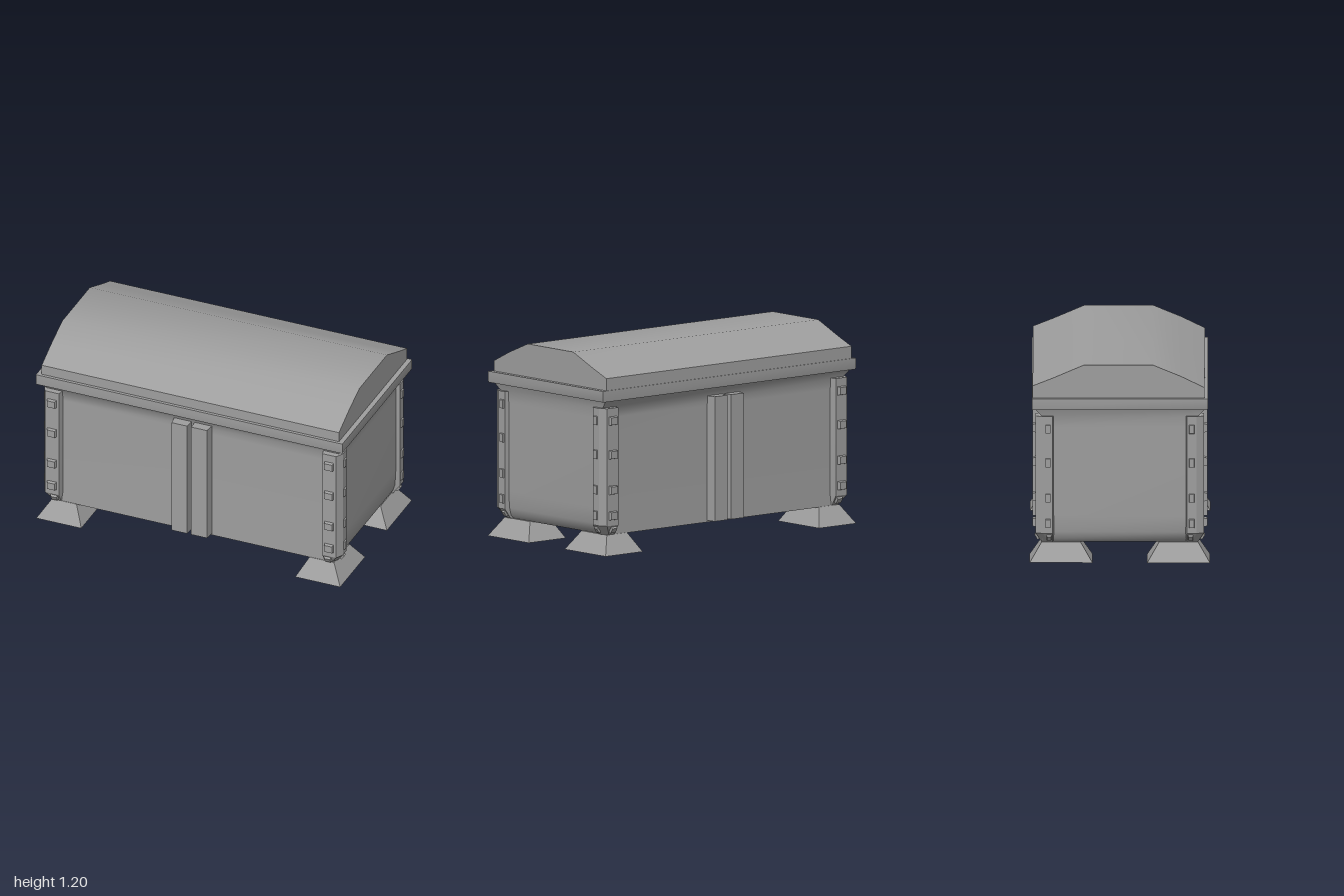
import * as THREE from 'three';
import { toCreasedNormals } from 'three/addons/utils/BufferGeometryUtils.js';

const material = new THREE.MeshStandardMaterial({ color: 0x9e9e9e });

// Skin between rings of [x, y, z] points, listed bottom to top, anticlockwise from above.
function loft(rings, crease = 0.2) {
  const n = rings[0].length;
  const index = [];
  for (let i = 0; i < rings.length - 1; i++) {
    for (let j = 0; j < n; j++) {
      const k = (j + 1) % n;
      const a = i * n + j, b = i * n + k, c = b + n, d = a + n;
      index.push(a, b, c, a, c, d);
    }
  }
  const top = (rings.length - 1) * n;
  for (let j = 1; j < n - 1; j++) {
    index.push(0, j + 1, j, top, top + j, top + j + 1);
  }
  const geo = new THREE.BufferGeometry();
  geo.setAttribute('position', new THREE.Float32BufferAttribute(rings.flat(2), 3));
  geo.setIndex(index);
  return toCreasedNormals(geo, crease);
}

// Rectangular ring at height y with half sizes hx, hz around (cx, cz).
const rect = (y, hx, hz, cx = 0, cz = 0) => [
  [cx + hx, y, cz + hz], [cx + hx, y, cz - hz], [cx - hx, y, cz - hz], [cx - hx, y, cz + hz],
];

// Ring from an [x, z] section, mirrored into the quadrant given by sx and sz.
function mirroredRing(section, y, sx, sz) {
  const ring = section.map(([x, z]) => [sx * x, y, sz * z]);
  return sx * sz < 0 ? ring.reverse() : ring;
}

// Stud whose front (+z) face is inset on all four sides.
function studGeometry(w, h) {
  const inset = 0.006;
  const geo = new THREE.BoxGeometry(w, h, 0.026).toNonIndexed();
  const p = geo.attributes.position;
  for (let i = 0; i < p.count; i++) {
    if (p.getZ(i) > 0) {
      p.setX(i, p.getX(i) - Math.sign(p.getX(i)) * inset);
      p.setY(i, p.getY(i) - Math.sign(p.getY(i)) * inset);
    }
  }
  geo.computeVertexNormals();
  return geo;
}

export function createModel() {
  const model = new THREE.Group();
  model.name = 'chest';
  const add = (name, geo, parent = model) => {
    const mesh = new THREE.Mesh(geo, material);
    mesh.name = name;
    parent.add(mesh);
    return mesh;
  };

  // Body: ends curve in at the bottom, all walls flare out under the rim
  add('body', loft([
    [0.112, 0.905, 0.465], [0.135, 0.93, 0.465], [0.18, 0.945, 0.465], [0.28, 0.95, 0.465],
    [0.82, 0.95, 0.465], [0.885, 0.952, 0.467], [0.932, 0.968, 0.51],
  ].map((level) => rect(...level)), 0.9));

  // Rim
  add('rim', loft([rect(0.932, 0.997, 0.525), rect(0.94, 1, 0.527), rect(1, 1, 0.527)], 0.5));

  // Arched lid, profile in (z, y) extruded along x
  const lidProfile = [
    [0.508, 0.99], [0.508, 1.063], [0.37, 1.13], [0.2, 1.2],
    [-0.217, 1.2], [-0.4, 1.122], [-0.522, 1.074], [-0.522, 0.99],
  ].map(([z, y]) => new THREE.Vector2(-z, y));
  const lid = new THREE.ExtrudeGeometry(new THREE.Shape(lidProfile), { depth: 1.94, bevelEnabled: false });
  lid.translate(0, 0, -0.97).rotateY(Math.PI / 2);
  add('lid', toCreasedNormals(lid, 0.9));

  const strapSection = [[0.01, 0.45], [0.013, 0.525], [0.115, 0.525], [0.125, 0.45]];
  const bracketSection = [[0.847, 0.45], [0.86, 0.505], [0.95, 0.505], [0.974, 0.46], [0.974, 0.402], [0.92, 0.388]];
  const bracketFoot = [[0.847, 0.42], [0.86, 0.47], [0.905, 0.47], [0.93, 0.43], [0.93, 0.402], [0.88, 0.388]];
  const frontStud = studGeometry(0.062, 0.056);
  const sideStud = studGeometry(0.04, 0.062);
  const lowFrontStud = studGeometry(0.05, 0.045);
  const lowSideStud = studGeometry(0.036, 0.045);

  for (const sx of [-1, 1]) {
    for (const sz of [-1, 1]) {
      // Half of the paired strap on the front or back
      add('strap', loft([0.122, 0.878].map((y) => mirroredRing(strapSection, y, sx, sz))));

      const corner = new THREE.Group();
      corner.name = (sz > 0 ? 'front' : 'back') + (sx > 0 ? 'Left' : 'Right') + 'Corner';
      model.add(corner);

      // Bracket, narrowing inward at its lower end
      add('cornerBracket', loft([
        mirroredRing(bracketFoot, 0.115, sx, sz),
        mirroredRing(bracketSection, 0.175, sx, sz),
        mirroredRing(bracketSection, 0.887, sx, sz),
      ]), corner);

      // Studs face along the given normal
      const stud = (geo, x, y, z, nx, ny, nz) => {
        const mesh = add('stud', geo, corner);
        mesh.position.set(sx * x, y, sz * z);
        mesh.lookAt(sx * (x + nx), y + ny, sz * (z + nz));
      };
      for (const y of [0.81, 0.605, 0.39, 0.235]) {
        stud(frontStud, 0.905, y, 0.511, 0, 0, 1);
        stud(sideStud, 0.97, y, 0.43, 1, 0, 0);
      }
      stud(lowFrontStud, 0.892, 0.148, 0.491, 0, -0.5, 0.86);
      stud(lowSideStud, 0.953, 0.148, 0.424, 0.8, -0.6, 0);

      // Foot: truncated pyramid
      add('foot', loft([
        rect(0, 0.147, 0.188, sx * 0.845, sz * 0.352),
        rect(0.114, 0.08, 0.116, sx * 0.84, sz * 0.352),
      ]), corner);
    }
  }
  return model;
}
